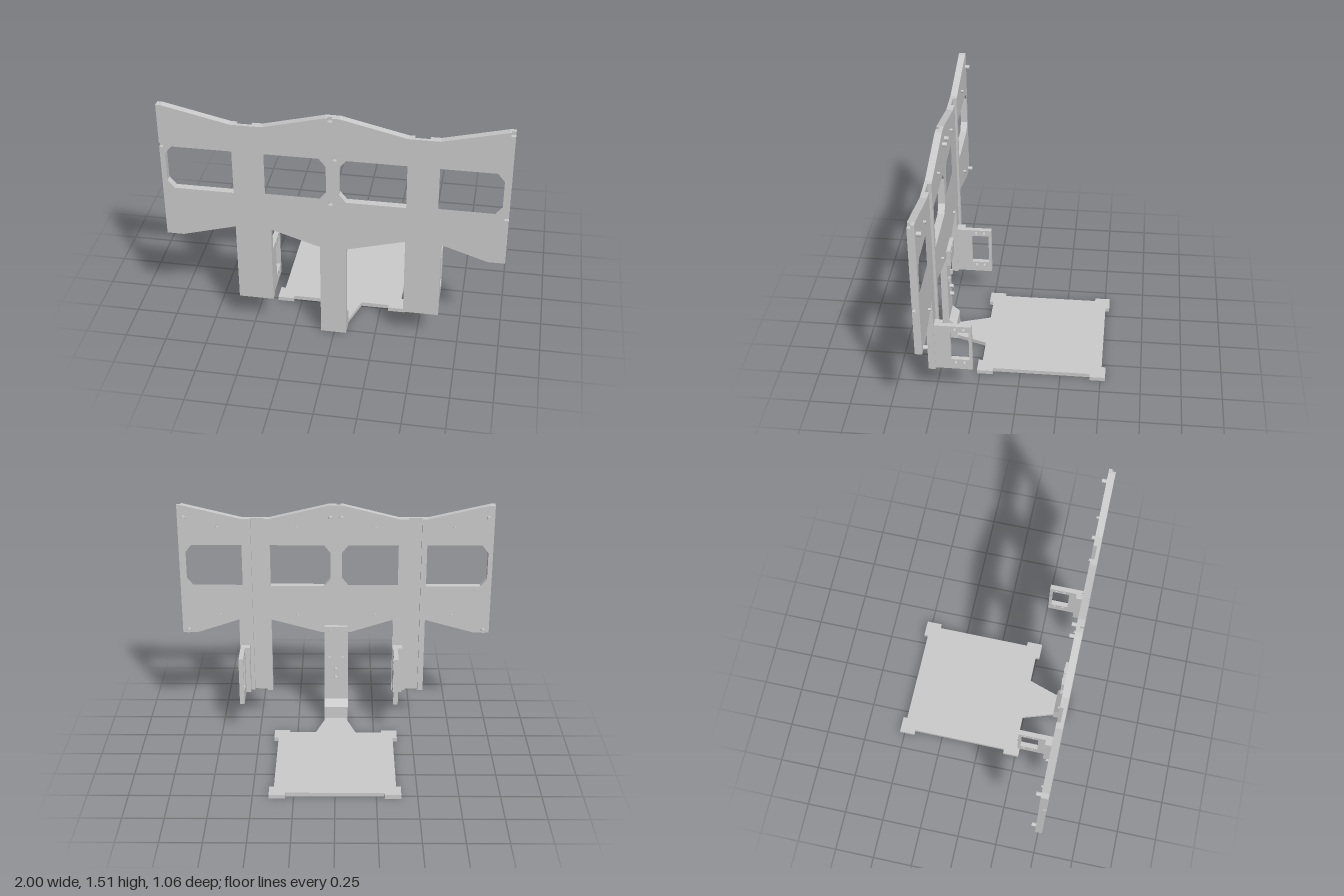
import * as THREE from 'three';

const material = new THREE.MeshStandardMaterial({ color: 0xcccccc });
const FRONT = 0.528, GROOVE = 0.508, BACK = 0.486;

function add(parent, name, geometry, x = 0, y = 0, z = 0) {
  const mesh = new THREE.Mesh(geometry, material);
  mesh.name = name;
  mesh.position.set(x, y, z);
  parent.add(mesh);
  return mesh;
}

const points = (list) => list.map(([x, y]) => new THREE.Vector2(x, y));

function extrude(outline, holes, depth) {
  const shape = new THREE.Shape(points(outline));
  for (const hole of holes) shape.holes.push(Array.isArray(hole) ? new THREE.Path(points(hole)) : hole);
  return new THREE.ExtrudeGeometry(shape, { depth, bevelEnabled: false, curveSegments: 8 });
}

// window with two clipped corners at the side x = clipped
function panelWindow(square, clipped) {
  const d = Math.sign(square - clipped) * 0.04, lo = 0.965, hi = 1.245;
  return [[square, lo], [square, hi], [clipped + d, hi], [clipped, hi - 0.05], [clipped, lo + 0.05], [clipped + d, lo]];
}

const square = (x, y, s = 0.0125) => [[x - s, y - s], [x + s, y - s], [x + s, y + s], [x - s, y + s]];

function circle(x, y, r) {
  return new THREE.Path().absarc(x, y, r, 0, Math.PI * 2, true);
}

function addPanel(group) {
  const windows = [panelWindow(-0.58, -0.97), panelWindow(-0.4, -0.04), panelWindow(0.42, 0.035), panelWindow(0.6, 0.96)];
  const panel = new THREE.Group();
  panel.name = 'panel';
  group.add(panel);

  // continuous front skin with small square notches
  const skin = [
    [-1, 1.51], [-0.97, 1.51], [-0.58, 1.42], [-0.4, 1.42], [-0.04, 1.51],
    [-0.028, 1.51], [-0.028, 1.487], [-0.003, 1.487], [-0.003, 1.51],
    [0.04, 1.51], [0.42, 1.42], [0.6, 1.42], [0.97, 1.51], [0.975, 1.51], [0.975, 1.487], [1, 1.487],
    [1, 0.963], [0.975, 0.963], [0.975, 0.938], [1, 0.938],
    [1, 0.64], [0.9, 0.64], [0.63, 0.73], [0.63, 0.215], [0.42, 0.215], [0.42, 0.73], [0.09, 0.64],
    [-0.09, 0.64], [-0.37, 0.73], [-0.37, 0.215], [-0.58, 0.215], [-0.58, 0.73], [-0.9, 0.64], [-1, 0.64],
    [-1, 1.238], [-0.978, 1.238], [-0.978, 1.263], [-1, 1.263],
  ];
  const notches = [square(0.01, 1.25), square(-0.015, 0.95)];
  add(panel, 'frontSkin', extrude(skin, [...windows, ...notches], FRONT - GROOVE), 0, 0, GROOVE);

  // three backing pieces, leaving two vertical grooves between them
  const left = [
    [0.54, 1.42], [0.6, 1.42], [0.97, 1.51], [1, 1.51], [1, 0.64], [0.9, 0.64], [0.63, 0.73], [0.63, 0.215], [0.54, 0.215],
  ];
  const centre = [
    [-0.46, 1.42], [-0.4, 1.42], [-0.04, 1.51], [0.04, 1.51], [0.42, 1.42], [0.455, 1.42], [0.455, 0.215], [0.42, 0.215],
    [0.42, 0.73], [0.09, 0.64], [-0.09, 0.64], [-0.37, 0.73], [-0.37, 0.215], [-0.46, 0.215],
  ];
  const right = [
    [-1, 1.51], [-0.97, 1.51], [-0.58, 1.42], [-0.545, 1.42], [-0.545, 0.215], [-0.58, 0.215], [-0.58, 0.73], [-0.9, 0.64], [-1, 0.64],
  ];
  const pieces = { leftBacking: [left, [windows[3]]], centreBacking: [centre, [windows[1], windows[2]]], rightBacking: [right, [windows[0]]] };
  for (const [name, [outline, holes]] of Object.entries(pieces)) {
    add(panel, name, extrude(outline, holes, GROOVE - BACK), 0, 0, BACK);
  }
}

// round peg pointing backwards
function addPeg(group, name, x, y, r, back) {
  const length = BACK + 0.005 - back;
  const geometry = new THREE.CylinderGeometry(r, r, length, 16).rotateX(Math.PI / 2);
  add(group, name, geometry, x, y, back + length / 2);
}

function addPegs(group) {
  for (const y of [1.43, 0.66]) {
    for (const x of [-0.96, -0.035, 0.035, 0.96]) addPeg(group, 'largePeg', x, y, 0.013, 0.458);
  }
  for (const y of [1.365, 0.765]) {
    for (const x of [-0.75, -0.25, 0.25, 0.75]) addPeg(group, 'smallPeg', x, y, 0.008, 0.47);
  }
}

// upright bracket with a window and four screw holes; outer face at x
function addBracket(group, name, x) {
  const bracket = new THREE.Group();
  bracket.name = name;
  group.add(bracket);
  const outline = [[0.262, 0.225], [0.49, 0.225], [0.49, 0.547], [0.262, 0.547]];
  const holes = [[[0.28, 0.297], [0.39, 0.297], [0.39, 0.504], [0.28, 0.504]]];
  for (const y of [0.275, 0.525]) for (const z of [0.308, 0.36]) holes.push(circle(z, y, 0.01));
  add(bracket, 'bracketPlate', extrude(outline, holes, 0.03).rotateY(-Math.PI / 2), x);
  add(bracket, 'bracketFoot', new THREE.BoxGeometry(0.032, 0.322, 0.052), x - 0.045, 0.386, 0.462);
}

function addPost(group) {
  const post = new THREE.Group();
  post.name = 'post';
  group.add(post);
  // upright with a sloped heel at the bottom
  const profile = [
    [FRONT, 0.005], [FRONT, 0.64], [BACK, 0.64], [BACK, 0.15], [0.44, 0.11], [0.44, 0.005],
  ];
  add(post, 'upright', extrude(profile, [], 0.155).rotateY(-Math.PI / 2), 0.075);
  add(post, 'mountingTab', new THREE.BoxGeometry(0.15, 0.11, 0.026), -0.002, 0.635, 0.474);
  for (const y of [0.37, 0.31]) addPeg(post, 'postPeg', 0, y, 0.013, 0.46);
  for (const x of [-0.045, 0.04]) add(post, 'postCatch', new THREE.BoxGeometry(0.015, 0.03, 0.02), x, 0.45, 0.48);
}

function addBasePlate(group) {
  // half outline in x and z, mirrored
  const half = [
    [0.3, -0.505], [0.3, -0.53], [0.4, -0.53], [0.4, -0.433], [0.372, -0.433], [0.372, 0.17],
    [0.4, 0.17], [0.4, 0.27], [0.3, 0.27], [0.3, 0.245], [0.13, 0.245], [0.07, 0.43], [0.07, 0.45],
  ];
  const mirrored = half.map(([x, z]) => [-x, z]).reverse();
  add(group, 'basePlate', extrude([...half, ...mirrored], [], 0.026).rotateX(Math.PI / 2), 0, 0.026);
}

export function createModel() {
  const group = new THREE.Group();
  group.name = 'panelStand';
  addPanel(group);
  addPegs(group);
  addBracket(group, 'rightBracket', -0.375);
  addBracket(group, 'leftBracket', 0.625);
  addPost(group);
  addBasePlate(group);
  return group;
}
